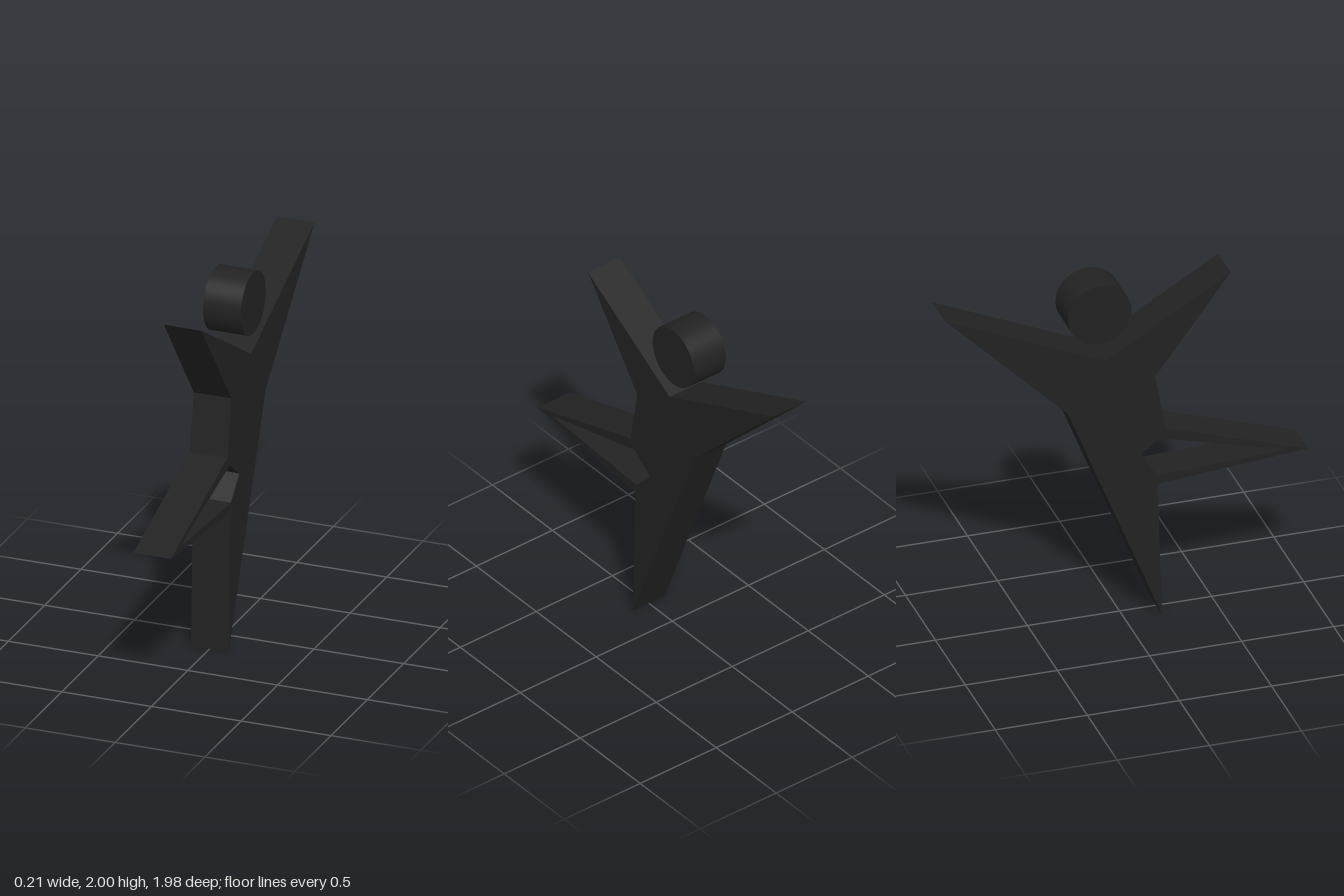
import * as THREE from 'three';

const THICKNESS = 0.21;

// Outlines are [z, y] pairs seen from the side
const toPoints = (pairs) => pairs.map(([z, y]) => new THREE.Vector2(-z, y));

export function createModel() {
  const group = new THREE.Group();
  group.name = 'dancerFigure';
  const material = new THREE.MeshStandardMaterial({ color: 0x222222 });

  // Body with raised arms, standing leg and bent leg
  const outline = new THREE.Shape(toPoints([
    [0.57, 1.96], [0.16, 1.413], [0.215, 1.1], // front arm, chest
    [0.99, 0.845], [0.172, 0.777], // bent leg
    [0.197, 0], [-0.315, 1.275], // standing leg, back
    [-0.985, 1.94], [-0.11, 1.555], // rear arm, neck
  ]));

  // Opening inside the bent leg
  outline.holes.push(new THREE.Path(toPoints([
    [0.183, 1.045], [0.05, 0.945], [0.167, 0.828], [0.867, 0.862],
  ])));

  const bodyGeometry = new THREE.ExtrudeGeometry(outline, { depth: THICKNESS, bevelEnabled: false });
  bodyGeometry.translate(0, 0, -THICKNESS / 2).rotateY(Math.PI / 2);
  const body = new THREE.Mesh(bodyGeometry, material);
  body.name = 'body';

  // Head: a disc floating above the shoulders
  const headGeometry = new THREE.CylinderGeometry(0.172, 0.172, THICKNESS, 64);
  headGeometry.rotateZ(Math.PI / 2);
  const head = new THREE.Mesh(headGeometry, material);
  head.name = 'head';
  head.position.set(0, 1.828, -0.141);

  group.add(body, head);
  return group;
}
